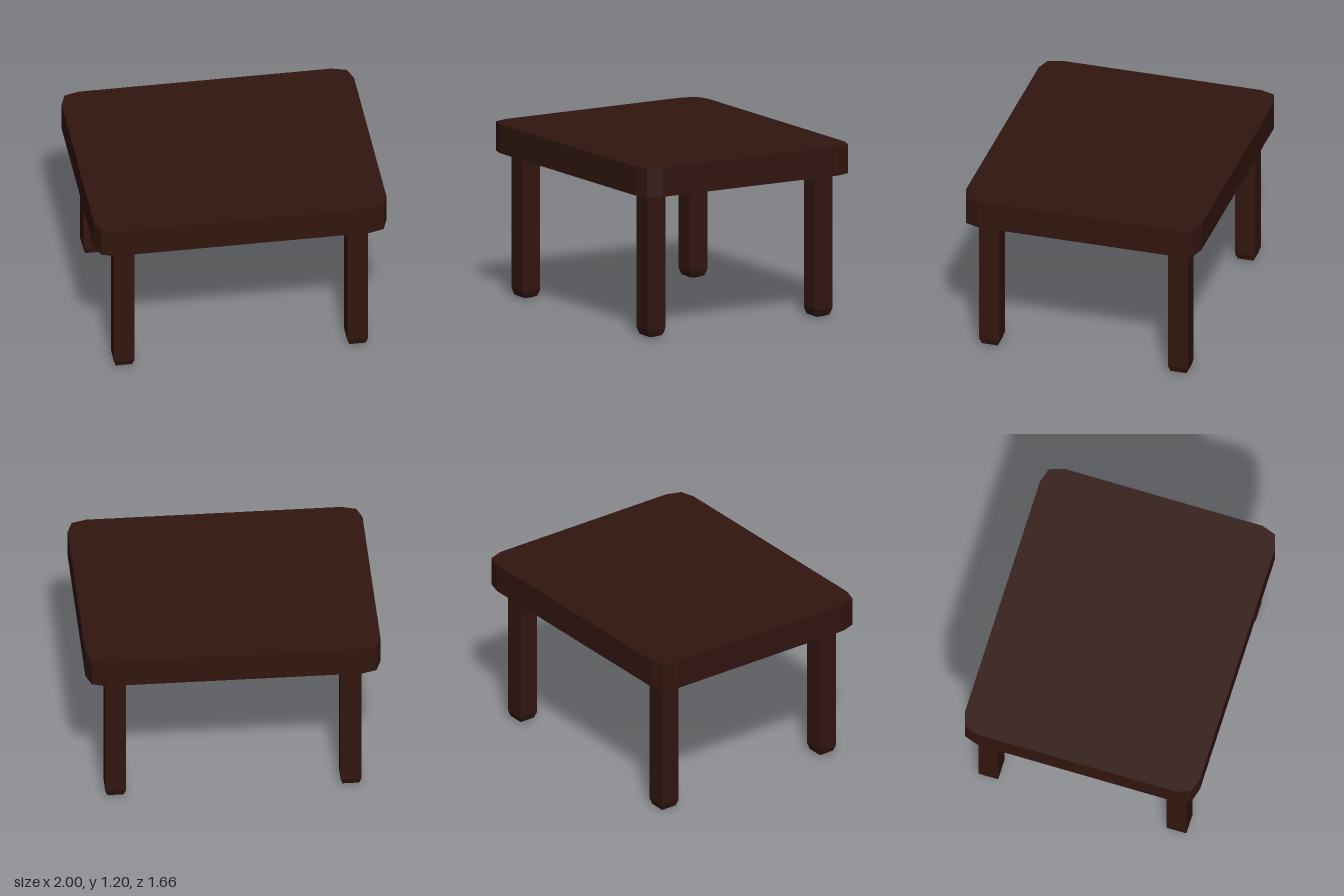
import * as THREE from 'three';

export function createModel() {
  const model = new THREE.Group();
  model.name = 'table';
  const wood = new THREE.MeshStandardMaterial({ color: 0x32160f, flatShading: true });

  // Tabletop: slab with faceted corners, mirrored from one quarter outline
  const corner = [[1, 0.7], [0.965, 0.8], [0.865, 0.83]];
  const outline = [];
  for (const [sx, sz] of [[1, 1], [-1, 1], [-1, -1], [1, -1]]) {
    const pts = corner.map(([x, z]) => new THREE.Vector2(sx * x, sz * z));
    outline.push(...(sx * sz > 0 ? pts : pts.reverse()));
  }
  const slab = new THREE.ExtrudeGeometry(new THREE.Shape(outline), { depth: 0.2, bevelEnabled: false });
  slab.rotateX(-Math.PI / 2);
  const top = new THREE.Mesh(slab, wood);
  top.name = 'tabletop';
  top.position.y = 1;
  model.add(top);

  // Legs: square posts with rounded-off feet, profile as [half width, height]
  const profile = [[0, 0], [0.025, 0.003], [0.056, 0.017], [0.07, 0.06], [0.07, 1.0]]
    .map(([w, y]) => new THREE.Vector2(w * Math.SQRT2, y));
  const legGeometry = new THREE.LatheGeometry(profile, 4, Math.PI / 4);
  for (const sx of [1, -1]) {
    for (const sz of [1, -1]) {
      const leg = new THREE.Mesh(legGeometry, wood);
      leg.name = (sz > 0 ? 'front' : 'back') + (sx > 0 ? 'Left' : 'Right') + 'Leg';
      leg.position.set(sx * 0.798, 0, sz * 0.665);
      model.add(leg);
    }
  }
  return model;
}
